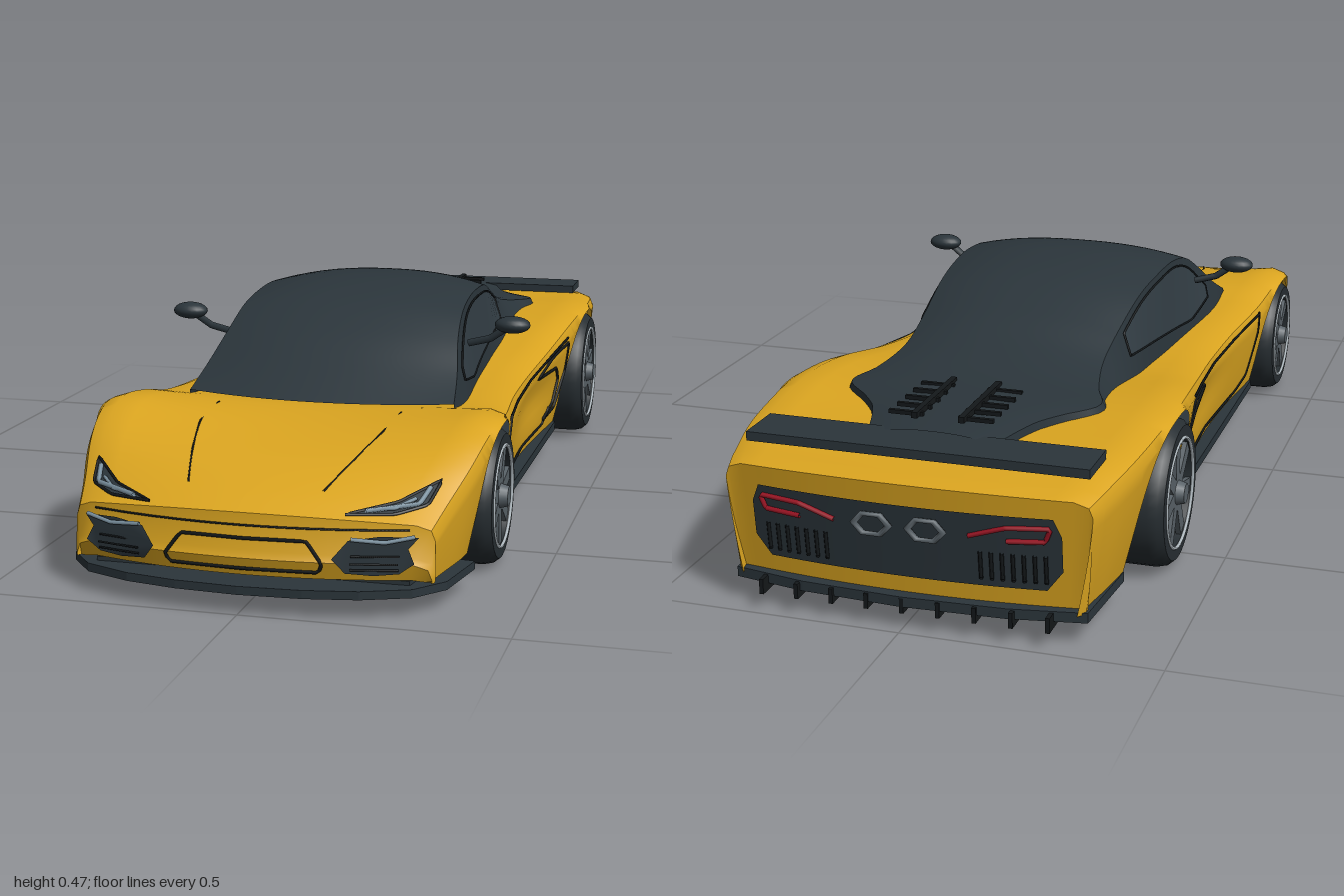
import * as THREE from 'three';
import { toCreasedNormals } from 'three/addons/utils/BufferGeometryUtils.js';

const { lerp, smoothstep } = THREE.MathUtils;
const V = (x, y, z) => new THREE.Vector3(x, y, z);
const mat = (name, color, open = true) => new THREE.MeshStandardMaterial({ name, color, side: open ? THREE.DoubleSide : THREE.FrontSide });

// smooth interpolation of rows [z, a, b, ...] sorted by falling z
const table = rows => z => {
  let i = 0;
  while (i < rows.length - 2 && z < rows[i + 1][0]) i++;
  const a = rows[i], b = rows[i + 1], dz = b[0] - a[0], t = THREE.MathUtils.clamp((z - a[0]) / dz, 0, 1);
  const slope = (k, c) => {
    const p = rows[Math.max(k - 1, 0)], q = rows[Math.min(k + 1, rows.length - 1)];
    return (q[c] - p[c]) / (q[0] - p[0]) * dz;
  };
  return a.slice(1).map((v, n) => {
    const c = n + 1, t2 = t * t, t3 = t2 * t;
    return (2 * t3 - 3 * t2 + 1) * v + (t3 - 2 * t2 + t) * slope(i, c) + (3 * t2 - 2 * t3) * b[c] + (t3 - t2) * slope(i + 1, c);
  });
};

// skin through equal-length rings of points
function loft(sections, crease = 0.6) {
  const n = sections[0].length, index = [];
  for (let i = 0; i < sections.length - 1; i++)
    for (let j = 0; j < n - 1; j++) {
      const a = i * n + j, b = a + n;
      index.push(a, a + 1, b, b, a + 1, b + 1);
    }
  const g = new THREE.BufferGeometry().setFromPoints(sections.flat());
  g.setIndex(index);
  return toCreasedNormals(g, crease);
}
const mirrored = half => [...half, ...half.slice(0, -1).reverse().map(p => V(-p.x, p.y, p.z))];

// body: z, half width, shoulder height, centre height
const bodyAt = table([
  [0.96, 0.345, 0.165, 0.18], [0.9, 0.36, 0.195, 0.205], [0.8, 0.385, 0.242, 0.235], [0.7, 0.4, 0.277, 0.255],
  [0.6, 0.408, 0.296, 0.268], [0.5, 0.402, 0.287, 0.272], [0.4, 0.388, 0.267, 0.264], [0.2, 0.367, 0.257, 0.262],
  [0, 0.362, 0.257, 0.265], [-0.2, 0.378, 0.277, 0.275], [-0.4, 0.402, 0.31, 0.295], [-0.55, 0.41, 0.319, 0.306],
  [-0.7, 0.402, 0.312, 0.302], [-0.85, 0.385, 0.3, 0.299], [-0.95, 0.367, 0.287, 0.291]]);
const noseRows = [[0.965, 0.347, 0.105, 0.112], [0.972, 0.342, 0.095, 0.098], [0.962, 0.335, 0.064, 0.064]];
const tailRows = [[-0.985, 0.357, 0.28, 0.285], [-0.972, 0.35, 0.17, 0.172], [-0.96, 0.34, 0.064, 0.064]];
const bow = (x, z) => (x / 0.36) ** 2 * (0.06 * smoothstep(z, 0.6, 0.96) - 0.03 * smoothstep(-z, 0.75, 0.95));
const arch = (z, c, r, top) => {
  const u = Math.abs((z - c) / r);
  return u < 1 ? 0.06 + (top - 0.06) * (1 - u ** 2.4) ** (1 / 2.4) : 0.06;
};
const sillY = z => Math.max(arch(z, 0.58, 0.165, 0.281), arch(z, -0.55, 0.205, 0.304));
const sideX = (y, z, hw, ys) => hw * (1 - 0.1 * (Math.max(ys - y, 0) / 0.25) ** 1.5)
  - 0.014 * Math.exp(-(((y - 0.17) / 0.05) ** 2) - ((z + 0.1) / 0.2) ** 2);
const topY = (x, hw, ys, yc) => yc + (ys - yc) * (x / (0.9 * hw)) ** 2;

function bodySection([z, hw, ys, yc]) {
  const pts = [], yb = sillY(z), yt = Math.max(yb, ys - 0.03);
  for (let k = 0; k <= 7; k++) {
    const y = lerp(yb, yt, k / 7);
    pts.push([sideX(y, z, hw, ys), y]);
  }
  pts.push([0.975 * hw, Math.max(yt, ys - 0.01)]);
  for (let k = 0; k <= 8; k++) {
    const x = 0.9 * hw * (1 - k / 8);
    pts.push([x, topY(x, hw, ys, yc)]);
  }
  return mirrored(pts.map(([x, y]) => V(x, y, z - bow(x, z))));
}

// canopy: z, base half width, roof edge half width, edge height, centre height
const canopyAt = table([
  [0.5, 0.285, 0.28, 0.281, 0.28], [0.4, 0.288, 0.268, 0.325, 0.338], [0.3, 0.282, 0.252, 0.378, 0.397],
  [0.2, 0.272, 0.243, 0.42, 0.444], [0.1, 0.262, 0.238, 0.438, 0.465], [0, 0.256, 0.235, 0.441, 0.47],
  [-0.15, 0.255, 0.225, 0.425, 0.455], [-0.3, 0.268, 0.215, 0.38, 0.413], [-0.4, 0.282, 0.215, 0.35, 0.376],
  [-0.5, 0.295, 0.235, 0.332, 0.35], [-0.58, 0.297, 0.26, 0.325, 0.339], [-0.65, 0.215, 0.2, 0.322, 0.335],
  [-0.7, 0.175, 0.165, 0.32, 0.333], [-0.82, 0.135, 0.125, 0.315, 0.328]]);
const baseY = 0.24;
const canopyPoint = (x, y, z) => V(x, y, z - 0.05 * (x / 0.29) ** 2 * smoothstep(z, 0.15, 0.5));
function canopySection(z) {
  const [bw, tw, ye, yc] = canopyAt(z), half = [];
  for (let k = 0; k < 4; k++) half.push(canopyPoint(lerp(bw, tw, k / 4), lerp(baseY, ye, k / 4), z));
  for (let k = 0; k <= 8; k++) {
    const u = 1 - k / 8;
    half.push(canopyPoint(tw * u, yc + (ye - yc) * u ** 2.4, z));
  }
  return mirrored(half);
}
const range = (a, b, n) => Array.from({ length: n + 1 }, (_, i) => lerp(a, b, i / n));

export function createModel() {
  const car = new THREE.Group();
  car.name = 'sportsCar';
  const paint = mat('golden paint', 0xdba520), carbon = mat('dark carbon', 0x2b353b), trim = mat('black trim', 0x14181a);
  const windowGlass = mat('window glass', 0x333e45), rubber = mat('tyre rubber', 0x272e32), rim = mat('rim grey', 0x596268);
  const silver = mat('silver', 0xb4bec4), lamp = mat('headlamp glass', 0x7f96a5), red = mat('tail lamp red', 0x9c1424);
  const add = (name, g, m, parent = car) => {
    const mesh = new THREE.Mesh(g, m);
    mesh.name = name;
    parent.add(mesh);
    return mesh;
  };
  const box = (name, m, w, h, d, x, y, z) => add(name, new THREE.BoxGeometry(w, h, d), m).position.set(x, y, z);
  const line = (name, pts, m = trim, r = 0.003, closed = false) =>
    add(name, new THREE.TubeGeometry(new THREE.CatmullRomCurve3(pts, closed, 'catmullrom', 0.05), pts.length * 8, r, 5, closed), m);
  const plate = (name, pts, m) => {
    const g = new THREE.BufferGeometry().setFromPoints(pts);
    g.setIndex(THREE.ShapeUtils.triangulateShape(pts.map(p => new THREE.Vector2(p.x, p.y)), []).flat());
    g.computeVertexNormals();
    return add(name, g, m);
  };
  // flat slab from a half outline of [x, z] points
  const slab = (name, half, y, h) => {
    const outline = [...half, ...half.slice().reverse().map(([x, z]) => [-x, z])];
    const g = new THREE.ExtrudeGeometry(new THREE.Shape(outline.map(([x, z]) => new THREE.Vector2(x, -z))), { depth: h, bevelEnabled: false });
    add(name, g.rotateX(-Math.PI / 2).translate(0, y, 0), carbon);
  };

  // shells
  const rows = [...noseRows.slice().reverse(), ...range(0.96, -0.95, 190).map(z => [z, ...bodyAt(z)]), ...tailRows];
  add('bodyShell', loft(rows.map(bodySection)), paint);
  add('canopy', loft(range(0.5, -0.82, 80).map(canopySection), 0.45), carbon);

  // underside
  slab('floor', [[0.3, 0.92], [0.33, 0.76], [0.26, 0.72], [0.26, 0.43], [0.345, 0.4], [0.345, -0.33], [0.26, -0.36],
    [0.26, -0.74], [0.34, -0.77], [0.32, -0.94]], 0.046, 0.016);
  slab('frontSplitter', [[0, 1], [0.12, 0.993], [0.22, 0.975], [0.31, 0.94], [0.36, 0.88], [0.385, 0.75], [0.3, 0.74]], 0.038, 0.016);
  slab('rearDiffuser', [[0.3, -0.75], [0.36, -0.76], [0.345, -0.95], [0.2, -0.975], [0, -0.985]], 0.045, 0.02);
  for (const x of range(-0.28, 0.28, 8)) box('diffuserFin', trim, 0.008, 0.03, 0.12, x, 0.047, -0.925);

  // rear wing and engine cover ribs
  box('rearWing', carbon, 0.67, 0.018, 0.105, 0, 0.313, -0.853);
  for (const s of [-1, 1]) {
    box('engineRail', trim, 0.012, 0.012, 0.22, s * 0.047, 0.341, -0.67);
    for (const z of range(-0.59, -0.76, 4)) box('engineSlat', trim, 0.07, 0.008, 0.008, s * 0.07, 0.338, z);
  }

  // surface helpers for details
  const onNose = (x, y, out = 0.006) => V(x, y, (y > 0.11 ? lerp(0.965, 0.96, (y - 0.11) / 0.07) : lerp(0.962, 0.972, (y - 0.064) / 0.034))
    - 0.06 * (x / 0.36) ** 2 + out);
  const onHood = (x, z, out = 0.005) => V(x, topY(x, ...bodyAt(z)) + out, z - bow(x, z) + out * 0.6);
  const onSide = (s, z, y) => {
    const [hw, ys] = bodyAt(z);
    return V(s * (sideX(y, z, hw, ys) + 0.001), y, z);
  };
  const onTail = (x, y, out = 0.005) => V(x, y, -0.972 - 0.012 * (y - 0.17) / 0.11 + 0.03 * (x / 0.36) ** 2 - out);

  // nose
  line('grilleFrame', [[-0.148, 0.095], [-0.118, 0.134], [0, 0.134], [0.118, 0.134], [0.148, 0.095], [0.14, 0.078], [0, 0.078], [-0.14, 0.078]]
    .map(p => onNose(...p, 0.002)), trim, 0.0035, true);
  line('bumperSeam', range(-0.3, 0.3, 10).map(x => onNose(x, 0.157, 0)), trim, 0.002);

  // tail
  const tailRow = (y, w) => range(-w, w, 16).map(x => onTail(x, y));
  add('tailPanel', loft([tailRow(0.1, 0.27), tailRow(0.14, 0.3), tailRow(0.21, 0.3), tailRow(0.245, 0.285)]), carbon);

  for (const s of [-1, 1]) {
    // lamps and intakes
    const lampOutline = [[0.335, 0.85], [0.322, 0.915], [0.27, 0.943], [0.185, 0.952], [0.27, 0.912]];
    plate('headlampHousing', lampOutline.map(([x, z]) => onHood(s * x, z)), carbon);
    line('headlampFrame', lampOutline.map(([x, z]) => onHood(s * x, z)), trim, 0.003, true);
    line('headlampStrip', [[0.32, 0.875], [0.308, 0.918], [0.22, 0.944]].map(([x, z]) => onHood(s * x, z, 0.009)), lamp, 0.005);
    line('headlampStrip', [[0.3, 0.905], [0.27, 0.932], [0.24, 0.936]].map(([x, z]) => onHood(s * x, z, 0.009)), lamp, 0.004);
    plate('frontIntake', [[0.168, 0.108], [0.195, 0.14], [0.25, 0.148], [0.318, 0.146], [0.3, 0.125], [0.312, 0.1], [0.285, 0.08], [0.24, 0.076], [0.19, 0.08]]
      .map(([x, y]) => onNose(s * x, y, 0.009)), carbon);
    line('intakeBlade', [[0.312, 0.148], [0.26, 0.138], [0.2, 0.143]].map(([x, y]) => onNose(s * x, y, 0.012)), lamp, 0.004);
    for (const y of [0.088, 0.1, 0.112]) line('intakeSlat', [0.2, 0.24, 0.285].map(x => onNose(s * x, y, 0.011)), trim, 0.002);
    line('hoodCrease', [[0.19, 0.53], [0.185, 0.66], [0.16, 0.78], [0.13, 0.89]].map(([x, z]) => onHood(s * x, z, 0)), trim, 0.002);
    line('tailLamp', [[0.13, 0.2], [0.2, 0.222], [0.28, 0.226], [0.27, 0.2], [0.2, 0.196]].map(([x, y]) => onTail(s * x, y, 0.008)), red, 0.005);
    for (const x of range(0.15, 0.27, 6)) line('tailSlat', [onTail(s * x, 0.115, 0.007), onTail(s * x, 0.17, 0.007)], trim, 0.004);
    const pipe = add('exhaustRing', new THREE.TorusGeometry(0.027, 0.006, 8, 6), rim);
    pipe.position.set(s * 0.052, 0.205, -0.99);
    pipe.scale.set(1.25, 0.8, 1);

    // side window with frame
    const glassPoint = (z, y) => {
      const [bw, tw, ye] = canopyAt(z);
      return canopyPoint(s * (lerp(bw, tw, (y - baseY) / (ye - baseY)) + 0.003), y, z);
    };
    const winZ = range(0.33, -0.27, 20);
    const low = winZ.map(z => glassPoint(z, z > 0.17 ? lerp(0.28, 0.3, (z - 0.17) / 0.16) : lerp(0.28, 0.328, (0.17 - z) / 0.44)));
    const high = winZ.map(z => glassPoint(z, canopyAt(z)[2] - lerp(0.014, 0.035, smoothstep(z, 0.1, 0.33))));
    add('sideWindow', loft([low, high]), windowGlass);
    line('windowFrame', [...low, ...high.slice().reverse()], trim, 0.0025, true);

    // flank seams, scoop and sill
    line('doorSeam', [[0.38, 0.25], [0.39, 0.2], [0.35, 0.1], [0.27, 0.08], [0, 0.085], [-0.2, 0.09], [-0.25, 0.12]].map(p => onSide(s, ...p)));
    line('beltSeam', [[0.38, 0.245], [0.2, 0.238], [0, 0.24], [-0.2, 0.258], [-0.33, 0.275]].map(p => onSide(s, ...p)));
    line('sideScoop', [[-0.1, 0.22], [-0.2, 0.25], [-0.34, 0.262], [-0.35, 0.19], [-0.3, 0.11], [-0.2, 0.1], [-0.28, 0.125], [-0.3, 0.18], [-0.26, 0.215]]
      .map(p => onSide(s, ...p)), trim, 0.004, true);
    box('sideSkirt', carbon, 0.04, 0.02, 0.74, s * 0.345, 0.057, 0.035);

    // wing mirror
    line('mirrorArm', [V(s * 0.262, 0.362, 0.22), V(s * 0.31, 0.375, 0.225), V(s * 0.345, 0.4, 0.23)], carbon, 0.008);
    const head = add('mirrorHead', new THREE.SphereGeometry(1, 20, 12), carbon);
    head.position.set(s * 0.357, 0.406, 0.228);
    head.scale.set(0.038, 0.018, 0.028);

    // wheels
    for (const [name, z, r, out, w] of [['frontWheel', 0.58, 0.135, 0.406, 0.125], ['rearWheel', -0.548, 0.149, 0.416, 0.135]]) {
      const wheel = new THREE.Group();
      wheel.name = name;
      wheel.position.set(s * out, r, z);
      wheel.rotation.z = -s * Math.PI / 2;
      car.add(wheel);
      const profile = [[0.72, -0.02], [0.74, 0], [0.9, 0], [0.97, -0.012], [1, -0.03], [1, 0.03 - w], [0.96, 0.008 - w], [0.85, -w], [0, -w]];
      add('tyre', toCreasedNormals(new THREE.LatheGeometry(profile.map(([a, y]) => new THREE.Vector2(a * r, y)).reverse(), 40), 0.7), rubber, wheel);
      add('brakeDisc', new THREE.CylinderGeometry(r * 0.74, r * 0.74, 0.01, 32), carbon, wheel).position.y = -0.03;
      const ring = add('rimEdge', new THREE.TorusGeometry(r * 0.735, 0.0035, 6, 40), silver, wheel);
      ring.rotation.x = Math.PI / 2;
      for (let k = 0; k < 7; k++) {
        const a = k / 7 * Math.PI * 2;
        const spoke = add('spoke', new THREE.BoxGeometry(r * 0.66, 0.01, r * 0.2), rim, wheel);
        spoke.position.set(Math.cos(a) * r * 0.39, -0.01, Math.sin(a) * r * 0.39);
        spoke.rotation.y = -a;
      }
      add('hub', new THREE.CylinderGeometry(0.02, 0.026, 0.022, 16), rim, wheel).position.y = 0.001;
      const caliper = add('brakeCaliper', new THREE.BoxGeometry(0.035, 0.008, 0.03), paint, wheel);
      caliper.position.set(-s * r * 0.35, -0.02, r * 0.48);
    }
  }
  return car;
}
